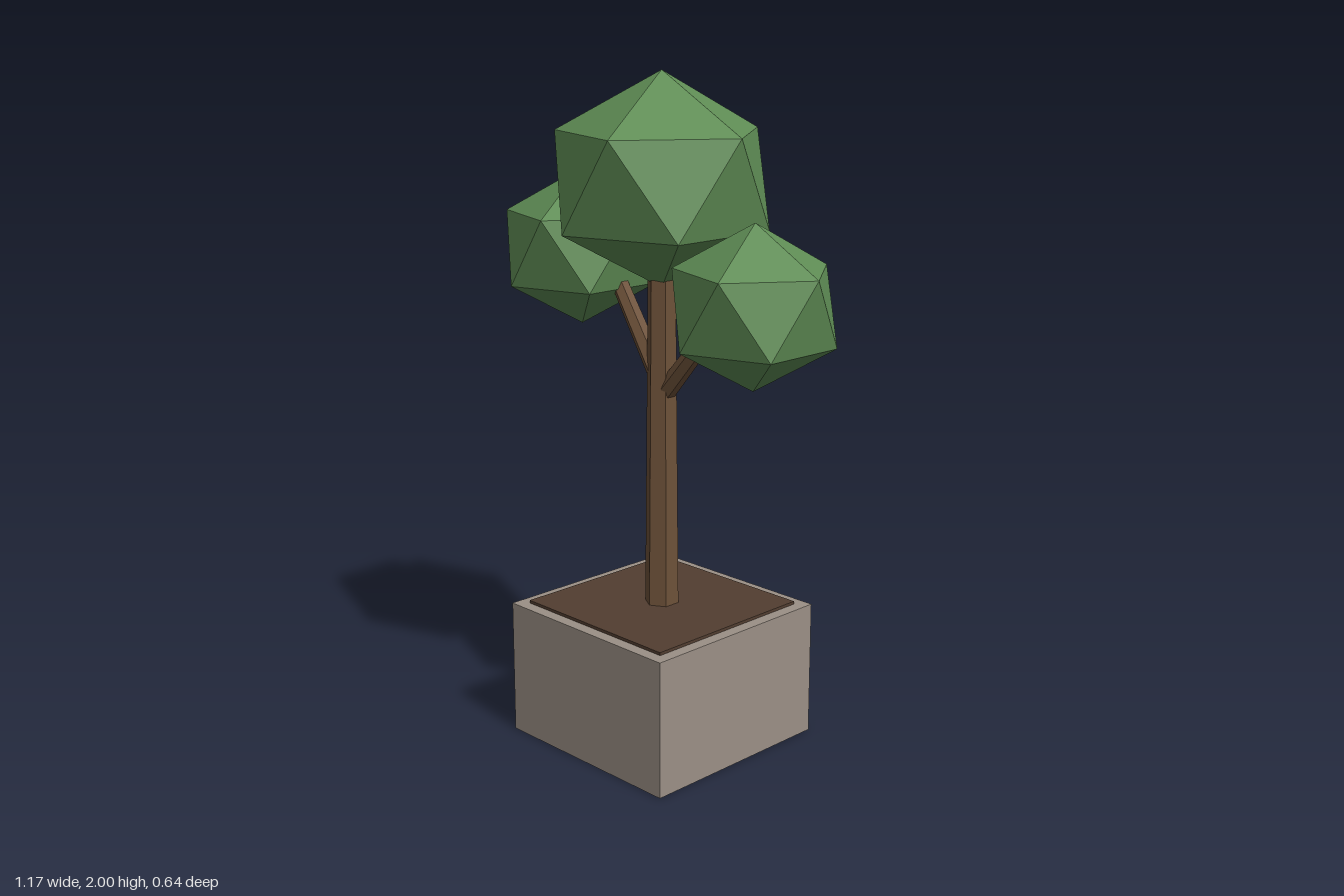
import * as THREE from 'three';

const material = (color) => new THREE.MeshStandardMaterial({ color, flatShading: true });

export function createModel() {
  const model = new THREE.Group();
  const stone = material(0x9b9086);
  const earth = material(0x523e31);
  const bark = material(0x6d5139);
  const leaves = material(0x5f8d55);
  const axisX = -0.01;

  function add(name, geometry, mat, x, y, z = 0) {
    const mesh = new THREE.Mesh(geometry, mat);
    mesh.name = name;
    mesh.position.set(x, y, z);
    model.add(mesh);
    return mesh;
  }

  // Planter block with a thin soil slab on top
  add('planter', new THREE.BoxGeometry(0.64, 0.413, 0.64), stone, axisX, 0.2065);
  add('soil', new THREE.BoxGeometry(0.566, 0.04, 0.566), earth, axisX, 0.402);

  // Six-sided tapering trunk
  const trunkHeight = 1.0;
  add('trunk', new THREE.CylinderGeometry(0.042, 0.052, trunkHeight, 6), bark, axisX, 0.41 + trunkHeight / 2);

  // Branches run from the trunk axis out to the side crowns
  function branch(name, endX, endY, startY) {
    const start = new THREE.Vector3(axisX, startY, 0);
    const end = new THREE.Vector3(endX, endY, 0);
    const dir = end.clone().sub(start);
    const mid = start.clone().add(end).multiplyScalar(0.5);
    const mesh = add(name, new THREE.CylinderGeometry(0.026, 0.031, dir.length(), 6), bark, mid.x, mid.y);
    mesh.quaternion.setFromUnitVectors(new THREE.Vector3(0, 1, 0), dir.normalize());
  }
  branch('rightBranch', -0.185, 1.37, 1.1);
  branch('leftBranch', 0.17, 1.265, 1.06);

  // Crowns: icosahedrons standing on a corner, slightly flattened
  function crown(name, x, y, radius, halfHeight) {
    const geometry = new THREE.IcosahedronGeometry(1, 0);
    geometry.rotateZ(-Math.atan(2 / (1 + Math.sqrt(5))));
    geometry.scale(radius, halfHeight, radius);
    geometry.computeVertexNormals();
    add(name, geometry, leaves, x, y);
  }
  crown('topCrown', axisX, 1.692, 0.346, 0.308);
  crown('rightCrown', -0.356, 1.465, 0.256, 0.235);
  crown('leftCrown', 0.352, 1.374, 0.256, 0.235);

  return model;
}
